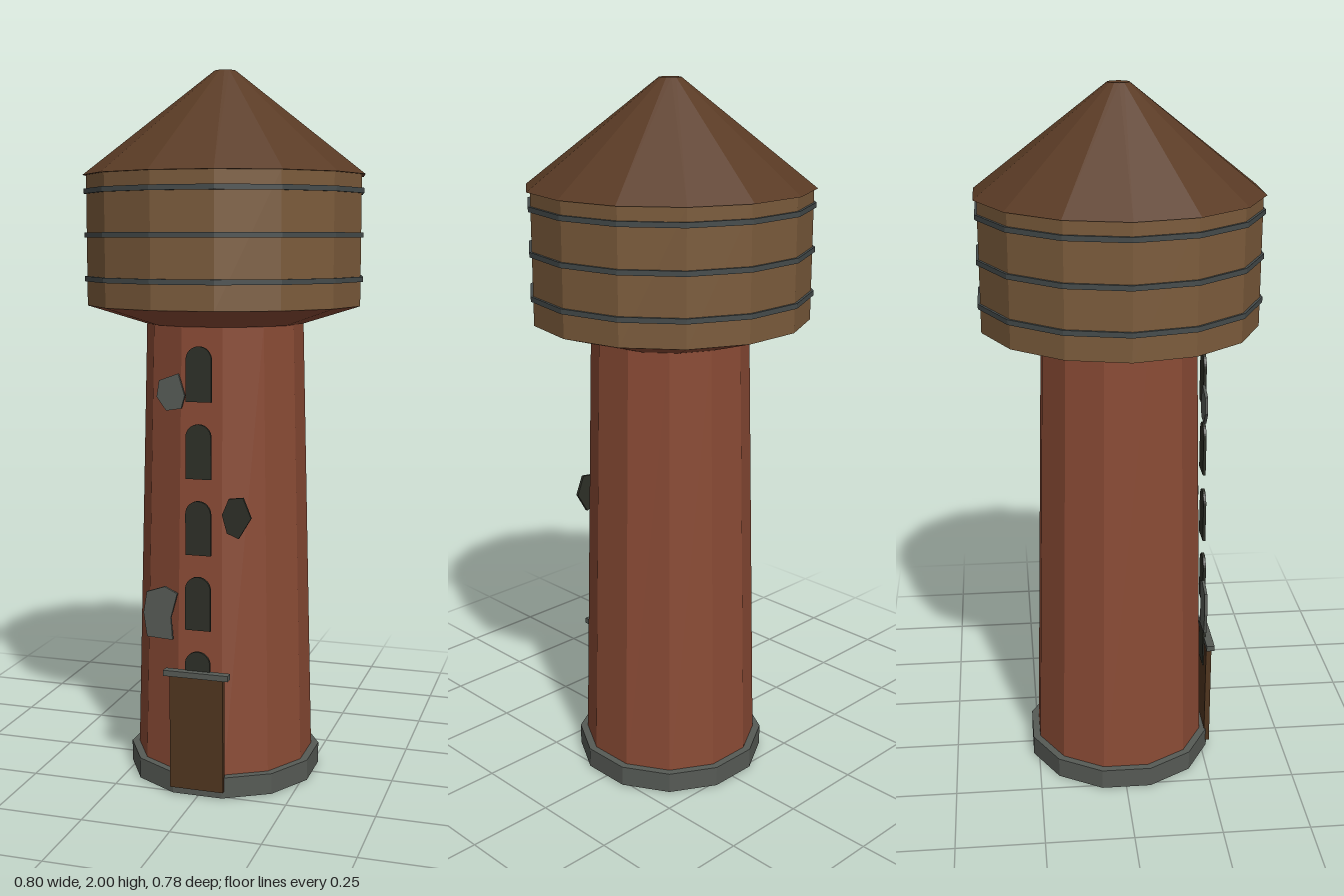
import * as THREE from 'three';

const mat = (name, color) => {
  const m = new THREE.MeshStandardMaterial({ color, flatShading: true });
  m.name = name;
  return m;
};

export function createModel() {
  const brick = mat('brick', 0x8a4b35);
  const planks = mat('planks', 0x7b5b3b);
  const shingle = mat('shingle', 0x5a3b25);
  const stone = mat('stone', 0x565a55);
  const iron = mat('iron', 0x454b4b);
  const glass = mat('darkOpening', 0x2d2f27);
  const wood = mat('doorWood', 0x50351f);

  const model = new THREE.Group();
  model.name = 'waterTower';
  const add = (name, geometry, material, x = 0, y = 0, z = 0) => {
    const mesh = new THREE.Mesh(geometry, material);
    mesh.name = name;
    mesh.position.set(x, y, z);
    model.add(mesh);
    return mesh;
  };
  // Faceted ring or drum between two heights
  const drum = (name, rTop, rBottom, y0, y1, sides, turn, material) => {
    const g = new THREE.CylinderGeometry(rTop, rBottom, y1 - y0, sides);
    g.rotateY(turn);
    return add(name, g, material, 0, (y0 + y1) / 2, 0);
  };
  const plate = (shape) =>
    new THREE.ExtrudeGeometry(shape, { depth: 0.008, bevelEnabled: false, curveSegments: 8 });

  // Tapered twelve-sided shaft on a stone plinth
  const t12 = Math.PI / 12;
  drum('shaft', 0.222, 0.256, 0, 1.31, 12, t12, brick);
  drum('plinth', 0.276, 0.276, 0.003, 0.062, 12, t12, stone);

  // Fourteen-sided tank, its flared support, hoops and roof
  const t14 = Math.PI / 2;
  drum('tankSupport', 0.388, 0.225, 1.305, 1.356, 14, t14, brick);
  drum('tank', 0.388, 0.388, 1.356, 1.715, 14, t14, planks);
  for (const y of [1.43, 1.55, 1.67]) {
    drum('tankHoop', 0.395, 0.395, y - 0.007, y + 0.007, 14, t14, iron);
  }
  drum('roof', 0.03, 0.398, 1.714, 2, 14, t14, shingle);

  // Column of arched windows following the taper
  const w = 0.036;
  const arch = new THREE.Shape();
  arch.moveTo(-w, 0);
  arch.lineTo(w, 0);
  arch.lineTo(w, 0.114);
  arch.absarc(0, 0.114, w, 0, Math.PI);
  arch.closePath();
  for (let i = 0; i < 5; i++) {
    add('window', plate(arch), glass, 0, 0.265 + i * 0.21, 0.255 - i * 0.0042);
  }

  // Door and lintel
  add('door', new THREE.BoxGeometry(0.154, 0.325, 0.016), wood, 0, 0.185, 0.267);
  add('lintel', new THREE.BoxGeometry(0.186, 0.016, 0.024), stone, 0, 0.353, 0.27);

  // Irregular repair patches
  const patch = (points, material, z) => {
    const shape = new THREE.Shape(points.map(([x, y]) => new THREE.Vector2(x, y)));
    add('wallPatch', plate(shape), material, 0, 0, z);
  };
  patch([[-0.115, 1.16], [-0.06, 1.18], [-0.042, 1.12], [-0.052, 1.085], [-0.095, 1.078], [-0.122, 1.115]], stone, 0.231);
  patch([[0.085, 0.845], [0.125, 0.85], [0.148, 0.795], [0.113, 0.737], [0.08, 0.75], [0.066, 0.8]], glass, 0.239);
  patch([[-0.153, 0.57], [-0.1, 0.588], [-0.064, 0.57], [-0.083, 0.5], [-0.078, 0.438], [-0.153, 0.442], [-0.163, 0.51]], stone, 0.237);

  return model;
}
